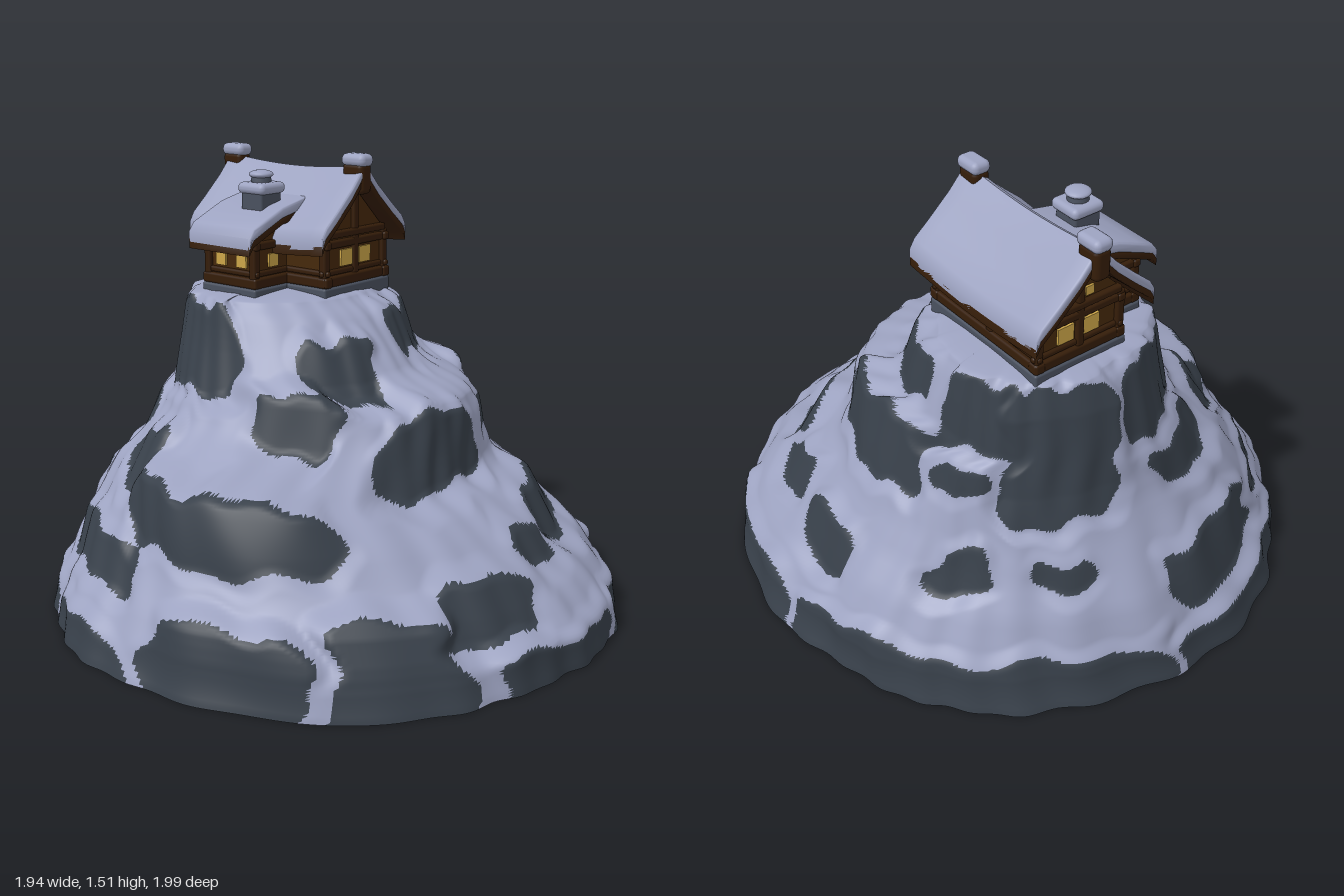
import * as THREE from 'three';
import { toCreasedNormals } from 'three/addons/utils/BufferGeometryUtils.js';
import { RoundedBoxGeometry } from 'three/addons/geometries/RoundedBoxGeometry.js';

const mat = (name, color) => Object.assign(new THREE.MeshStandardMaterial({ color }), { name });

// Hill extents at each height: how far it reaches to the right, left, front and back
const HEIGHT = [0, .1, .2, .3, .4, .5, .57, .65, .75, .8, .9, 1, 1.04];
const REACH = {
  right: [.965, .93, .885, .82, .74, .68, .655, .62, .57, .53, .495, .455, .43],
  left: [.965, .925, .865, .78, .71, .64, .55, .45, .385, .36, .3, .255, .23],
  front: [.99, .97, .88, .76, .64, .49, .46, .44, .4, .25, .16, .07, -.01],
  back: [.99, .955, .92, .88, .825, .77, .735, .71, .69, .68, .65, .62, .59],
};
// Bare rock patches: start and end angle (degrees, front is 0, right is 90), bottom and top
const PATCHES = [
  [-50, -14, .75, .93], [-74, -46, .61, .8], [4, 86, .84, .99], [98, 140, .78, 1.03], [132, 178, .56, 1.03],
  [181, 282, .74, 1.02], [-31, 15, .48, .72], [27, 50, .57, .69], [50, 108, .57, .8], [113, 130, .64, .73],
  [0, 16, .25, .36], [18, 47, .26, .44], [51, 69, .28, .41], [77, 98, .24, .42], [118, 132, .34, .49],
  [143, 160, .38, .47], [-88, -56, -.1, .23], [-52, -26, -.1, .27], [-27, -5, .14, .31], [-20, 18, -.1, .11],
  [20, 44, -.1, .11], [52, 92, -.1, .14], [94, 176, -.1, .17], [-105, -44, .34, .54],
  [190, 229, .53, .68], [178, 217, .17, .4], [224, 262, .2, .34], [178, 232, -.1, .12], [236, 268, -.1, .1],
  [238, 256, .46, .63],
];

function lookUp(list, y) {
  let i = 1;
  while (i < HEIGHT.length - 1 && y > HEIGHT[i]) i++;
  const t = THREE.MathUtils.clamp((y - HEIGHT[i - 1]) / (HEIGHT[i] - HEIGHT[i - 1]), 0, 1);
  return THREE.MathUtils.lerp(list[i - 1], list[i], t);
}
const reach = (side, y) => (lookUp(REACH[side], y - .018) + lookUp(REACH[side], y) + lookUp(REACH[side], y + .018)) / 3;

// Signed distance to the nearest rock patch, and how far that patch steepens the slope
function rockField(a, y) {
  const aw = a + .035 * Math.sin(19 * y + 4 * a) + .02 * Math.sin(41 * y + 9 * a);
  const yw = y + .014 * Math.sin(11 * a + 9 * y) + .01 * Math.sin(23 * a + 3);
  const r = .95 - .55 * y;
  let nearest = 1, shift = 0;
  for (const [a0, a1, y0, y1] of PATCHES) {
    const mid = THREE.MathUtils.degToRad((a0 + a1) / 2), ha = THREE.MathUtils.degToRad((a1 - a0) / 2) * r;
    const da = Math.abs(Math.atan2(Math.sin(aw - mid), Math.cos(aw - mid))) * r;
    const yc = (y0 + y1) / 2, hy = (y1 - y0) / 2, round = Math.min(ha, hy) * .7;
    const qx = da - ha + round, qy = Math.abs(yw - yc) - hy + round;
    const d = Math.hypot(Math.max(qx, 0), Math.max(qy, 0)) + Math.min(Math.max(qx, qy), 0) - round;
    nearest = Math.min(nearest, d);
    shift += (y - yc) * .5 * (1 - THREE.MathUtils.smoothstep(d, -.02, .045));
  }
  return { nearest, shift: THREE.MathUtils.clamp(shift, -.07, .07) * Math.min(1, y / .12) };
}

function hillPoint(a, y, shrink, lift) {
  const ys = y - rockField(a, y).shift;
  const R = reach('right', ys), L = reach('left', ys), F = reach('front', ys), B = reach('back', ys);
  const wobble = 1 + .006 * Math.sin(17 * a + 3 * Math.sin(2 * a) + 2 * Math.sin(5 * y))
    + .005 * Math.sin(29 * a + 4 * Math.sin(3 * a) + 6 * y) + .009 * Math.sin(6 * a + 9 * y);
  // Broad shelf swelling out at the front left
  const u = ((a > Math.PI ? a - 2 * Math.PI : a) + 1.08) / .48, v = (ys - .47) / (ys > .47 ? .1 : .15);
  const bulge = .115 * Math.exp(-u * u - v * v);
  const k = shrink * wobble;
  return [(R - L) / 2 + Math.sin(a) * ((R + L) / 2 + bulge) * k, y + lift, (F - B) / 2 + Math.cos(a) * ((F + B) / 2 + bulge) * k];
}

function hillGeometry() {
  const N = 380, rows = 130, cap = 10, pos = [], rock = [], snow = [];
  for (let j = 0; j <= rows + cap; j++) {
    const y = Math.min(j / rows, 1) * 1.035, t = Math.max(0, j - rows) / cap * Math.PI / 2;
    for (let i = 0; i < N; i++) pos.push(...hillPoint(i / N * 2 * Math.PI, y, Math.cos(t), .025 * Math.sin(t)));
  }
  const sort = (i, j, ...corners) => {
    const bare = j < rows && rockField(i / N * 2 * Math.PI, j / rows * 1.035).nearest < 0;
    (bare ? rock : snow).push(...corners);
  };
  for (let j = 0; j < rows + cap; j++) for (let i = 0; i < N; i++) {
    const p = j * N + i, q = j * N + (i + 1) % N;
    sort(i + .67, j + .33, p, q, q + N);
    sort(i + .33, j + .67, p, q + N, p + N);
  }
  const g = new THREE.BufferGeometry();
  g.setAttribute('position', new THREE.Float32BufferAttribute(pos, 3));
  g.setIndex([...rock, ...snow]);
  g.addGroup(0, rock.length, 0);
  g.addGroup(rock.length, snow.length, 1);
  g.computeVertexNormals();
  return g;
}

// Extrudes a front outline from z0 to z1, optionally sagging in the middle
function slab(points, z0, z1, bevel = 0, sag = 0) {
  const g = new THREE.ExtrudeGeometry(new THREE.Shape(points.map(p => new THREE.Vector2(...p))), {
    depth: z1 - z0 - 2 * bevel, steps: sag ? 12 : 1, bevelEnabled: bevel > 0,
    bevelSize: bevel, bevelThickness: bevel, bevelOffset: -bevel, bevelSegments: 3,
  });
  g.translate(0, 0, z0 + bevel);
  const p = g.attributes.position;
  for (let i = 0; i < p.count; i++) {
    const t = THREE.MathUtils.clamp((p.getZ(i) - z0) / (z1 - z0), 0, 1);
    p.setY(i, p.getY(i) - sag * Math.sin(Math.PI * t));
  }
  return toCreasedNormals(g, .8);
}

export function createModel() {
  const snow = mat('snow', 0x9da3c1), rock = mat('rock', 0x38404a), wood = mat('wood', 0x45280b);
  const darkWood = mat('dark wood', 0x351d09), glow = mat('window light', 0xcca548), stone = mat('stone', 0x4a515f);
  const model = new THREE.Group();
  const house = new THREE.Group();
  house.name = 'house';
  const add = (parent, name, geometry, material) => {
    const m = new THREE.Mesh(geometry, material);
    m.name = name;
    parent.add(m);
    return m;
  };
  const box = (name, material, x0, x1, y0, y1, z0, z1, r = .008) => {
    const m = add(house, name, new RoundedBoxGeometry(x1 - x0, y1 - y0, z1 - z0, 2, r), material);
    m.position.set((x0 + x1) / 2, (y0 + y1) / 2, (z0 + z1) / 2);
  };

  // Snowy hill and its flat underside
  add(model, 'hill', hillGeometry(), [rock, snow]);
  const rim = [];
  for (let i = 0; i < 190; i++) {
    const [x, , z] = hillPoint(i / 190 * 2 * Math.PI, 0, 1, 0);
    rim.push(new THREE.Vector2(x, z));
  }
  add(model, 'hillUnderside', new THREE.ShapeGeometry(new THREE.Shape(rim)).rotateX(Math.PI / 2), snow);

  // Stone footings and walls
  const cx = .155;
  box('footing', stone, -.02, .33, 1.0, 1.072, -.55, -.02);
  box('wingFooting', stone, -.18, 0, 1.0, 1.072, -.44, -.19);
  add(house, 'walls', slab([[0, 1.06], [.31, 1.06], [.31, 1.25], [cx, 1.4], [0, 1.25]], -.53, -.04), wood);
  box('wingWalls', wood, -.16, .02, 1.06, 1.26, -.42, -.21, .004);

  // Horizontal logs and corner posts
  for (const [y, r] of [[1.09, .018], [1.12, .01], [1.215, .014]]) {
    for (const z of [-.53, -.04]) box('endLog', darkWood, -.02, .33, y - r, y + r, z - r, z + r);
    for (const x of [0, .31]) box('sideLog', darkWood, x - r, x + r, y - r, y + r, -.55, -.015);
    for (const z of [-.42, -.21]) box('wingEndLog', darkWood, -.175, .01, y - r, y + r, z - r, z + r);
    box('wingSideLog', darkWood, -.16 - r, -.16 + r, y - r, y + r, -.44, -.19);
  }
  for (const x of [0, .31]) for (const z of [-.53, -.315, -.04]) box('post', darkWood, x - .015, x + .015, 1.07, 1.24, z - .015, z + .015);
  for (const z of [-.42, -.21]) box('wingPost', darkWood, -.175, -.145, 1.07, 1.24, z - .014, z + .014);
  for (const z of [-.53, -.04]) {
    box('gableBeam', darkWood, 0, .31, 1.235, 1.26, z - .018, z + .018);
    box('gablePost', darkWood, cx - .014, cx + .014, 1.1, 1.4, z - .014, z + .014);
  }

  // Main roof: wooden layer under a sagging snow layer
  const half = [[.224, 1.25], [.205, 1.281], [.145, 1.332], [.07, 1.4], [.02, 1.456], [0, 1.468]];
  const roofOutline = (top, bottom) => {
    const side = (s, dy) => half.map(([x, y]) => [cx + s * x, y + dy]);
    return [...side(1, top), ...side(-1, top).reverse().slice(1), ...side(-1, bottom), ...side(1, bottom).reverse().slice(1)];
  };
  add(house, 'roofBoards', slab(roofOutline(-.024, -.056), -.61, .012, .004, .015), darkWood);
  add(house, 'roofSnow', slab(roofOutline(.004, -.034), -.612, .014, .008, .02), snow);

  // Ridge beam ends with snow caps
  for (const [z0, z1] of [[-.635, -.535], [-.075, .025]]) {
    box('ridgeEnd', darkWood, cx - .03, cx + .03, 1.375, 1.482, z0 + .004, z1 - .008, .018);
    box('ridgeSnow', snow, cx - .034, cx + .034, 1.468, 1.512, z0, z1, .02);
  }

  // Lean-to roof of the wing
  const lean = [[-.222, 1.248], [-.2, 1.276], [-.14, 1.302], [-.06, 1.335], [.06, 1.36]];
  const leanOutline = (top, bottom) => [...lean.map(([x, y]) => [x, y + bottom]), ...lean.map(([x, y]) => [x, y + top]).reverse()];
  add(house, 'wingRoofBoards', slab(leanOutline(-.024, -.056), -.457, -.172, .004), darkWood);
  add(house, 'wingRoofSnow', slab(leanOutline(.004, -.034), -.46, -.168, .01), snow);

  // Chimney
  box('chimney', stone, -.095, .005, 1.2, 1.39, -.33, -.235);
  box('chimneySnow', snow, -.104, .018, 1.376, 1.415, -.343, -.222, .018);
  const pot = add(house, 'chimneyPot', new THREE.CylinderGeometry(.032, .036, .03, 20), stone);
  pot.position.set(-.043, 1.425, -.283);
  const potSnow = add(house, 'chimneyPotSnow', new THREE.SphereGeometry(.042, 20, 12).scale(1, .36, 1), snow);
  potSnow.position.set(-.043, 1.44, -.283);

  // Lit windows
  const pane = (x, y, z, facesSide, w = .06, h = .056) => {
    const m = add(house, 'window', new THREE.BoxGeometry(w, h, .009), glow);
    m.position.set(x, y, z);
    if (facesSide) m.rotation.y = Math.PI / 2;
  };
  for (const z of [-.533, -.037]) for (const x of [.11, .207]) pane(x, 1.164, z, false);
  for (const z of [-.23, -.4]) pane(.313, 1.158, z, true, .076);
  pane(cx - .035, 1.285, -.533, false, .03, .03);
  for (const z of [-.423, -.207]) pane(-.072, 1.16, z, false, .045, .045);
  for (const z of [-.36, -.265]) pane(-.163, 1.16, z, true, .045, .045);
  pane(-.003, 1.165, -.48, true, .045, .045);

  model.add(house);
  return model;
}
